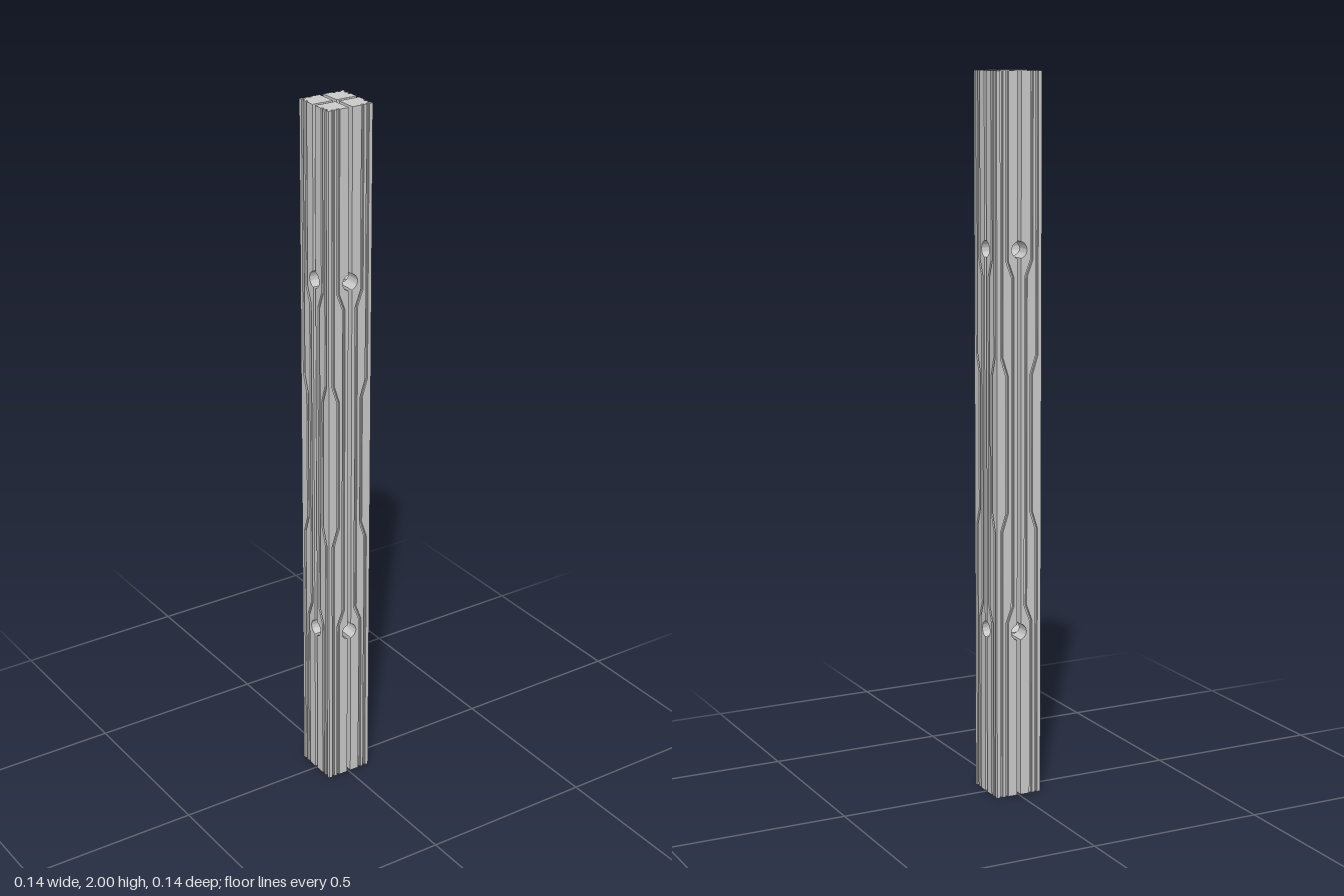
import * as THREE from 'three';
import { toCreasedNormals } from 'three/addons/utils/BufferGeometryUtils.js';

const OUT = 0.0675, GAP = 0.0055;        // outer face and half slot width
const HOLE_R = 0.023, HOLE_D = 0.528;    // cross holes, distance from mid height
const GROOVE_W = 0.004, GROOVE_D = 0.006;

const ramp = (d, d0, d1, a, b) => a + (b - a) * THREE.MathUtils.clamp((d - d0) / (d1 - d0), 0, 1);

// Heights of the cross-sections, each with the position of the bar's inner faces
function levels() {
  const list = [[0, GAP], [2, GAP]];
  for (const d of [0.19, 0.24, 0.455, 0.5]) list.push([1 - d, GAP], [1 + d, GAP]);
  const t0 = Math.asin(GAP / HOLE_R), n = 18;
  for (const yc of [1 - HOLE_D, 1 + HOLE_D]) {
    for (let i = 0; i <= n; i++) {
      const t = t0 + (Math.PI - 2 * t0) * i / n;
      list.push([yc - HOLE_R * Math.cos(t), HOLE_R * Math.sin(t)]);
    }
  }
  return list.sort((a, b) => a[0] - b[0]);
}

// Square section with two grooves on each outer face; the grooves jog along the height
function section(y, inner) {
  const d = Math.abs(y - 1);
  const centres = [ramp(d, 0.455, 0.5, 0.02, 0.037), ramp(d, 0.19, 0.24, 0.037, 0.053)];
  const face = [];
  for (const c of centres) {
    const w = GROOVE_W, f = OUT - GROOVE_D, k = 0.0015;
    face.push([OUT, c - w], [f + k, c - w], [f, c - w + k],
      [f, c + w - k], [f + k, c + w], [OUT, c + w]);
  }
  const mirrored = face.map(([a, b]) => [b, a]).reverse();
  return [[inner, inner], [OUT, inner], ...face, [OUT, OUT], ...mirrored, [inner, OUT]];
}

function barGeometry() {
  const rings = levels().map(([y, w]) => section(y, w).map(([x, z]) => [x, y, z]));
  const n = rings[0].length, last = (rings.length - 1) * n, index = [];
  for (let r = 0; r < rings.length - 1; r++) {
    for (let k = 0; k < n; k++) {
      const a = r * n + k, b = r * n + (k + 1) % n;
      index.push(a, a + n, b, b, a + n, b + n);
    }
  }
  // End caps
  const outline = rings[0].map(([x, , z]) => new THREE.Vector2(x, z));
  for (const [a, b, c] of THREE.ShapeUtils.triangulateShape(outline, [])) {
    index.push(a, b, c, last + a, last + c, last + b);
  }
  const geo = new THREE.BufferGeometry();
  geo.setAttribute('position', new THREE.Float32BufferAttribute(rings.flat(2), 3));
  geo.setIndex(index);
  return toCreasedNormals(geo, 0.3);
}

export function createModel() {
  const group = new THREE.Group();
  group.name = 'groovedColumn';
  const material = new THREE.MeshStandardMaterial({ color: 0xcccccc });
  const geo = barGeometry();
  // Four bars, quarter turns of one another
  ['frontLeftBar', 'backLeftBar', 'backRightBar', 'frontRightBar'].forEach((name, i) => {
    const bar = new THREE.Mesh(geo, material);
    bar.name = name;
    bar.rotation.y = i * Math.PI / 2;
    group.add(bar);
  });
  return group;
}
